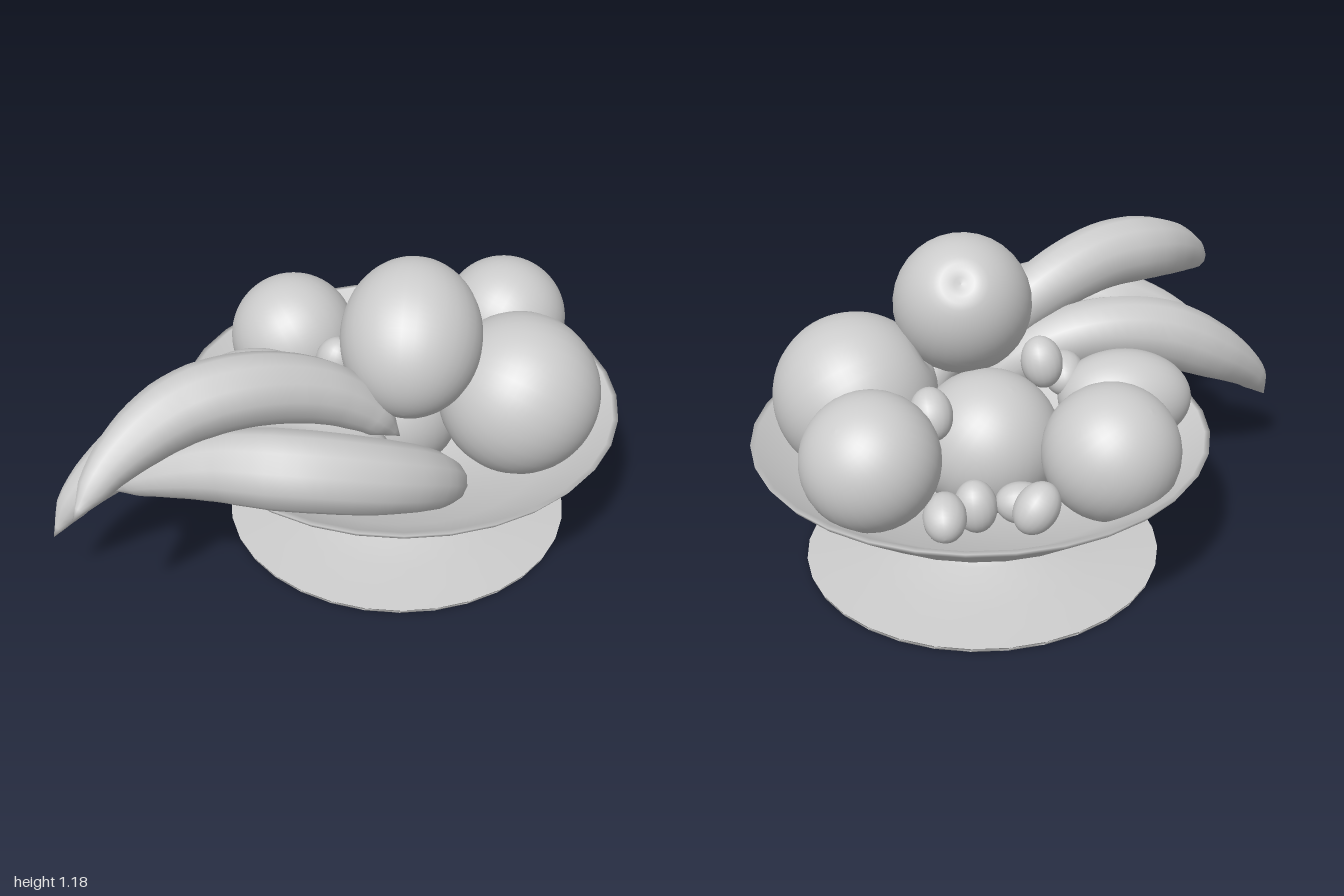
import * as THREE from 'three';
import { mergeVertices } from 'three/addons/utils/BufferGeometryUtils.js';

const material = new THREE.MeshStandardMaterial({ color: 0xcccccc });
const UP = new THREE.Vector3(0, 1, 0);

function add(parent, name, geometry) {
  const mesh = new THREE.Mesh(geometry, material);
  mesh.name = name;
  parent.add(mesh);
  return mesh;
}

// Round fruit: r across, h half length along its axis, dent = depth of the stem hollow
function roundFruit(parent, name, pos, r, h, axis, dent = 0, detail = 32) {
  const points = [];
  const steps = detail;
  for (let i = 0; i <= steps; i++) {
    const a = Math.PI * (1 - i / steps);
    const k = 1 - dent * Math.exp(-((a / 0.17) ** 2));
    points.push(new THREE.Vector2(i % steps ? r * k * Math.sin(a) : 0, h * k * Math.cos(a)));
  }
  const mesh = add(parent, name, new THREE.LatheGeometry(points, detail));
  mesh.position.set(...pos);
  mesh.quaternion.setFromUnitVectors(UP, new THREE.Vector3(...axis).normalize());
}

// Banana: a tube along a curve whose rings are resized by a taper profile
const TAPER = [0, 0.42, 0.64, 0.82, 0.94, 1, 1, 0.98, 0.94, 0.87, 0.75, 0.56, 0];
function banana(parent, name, radius, path) {
  const curve = new THREE.CatmullRomCurve3(path.map((p) => new THREE.Vector3(...p)));
  const rings = 36, sides = 12;
  const geometry = new THREE.TubeGeometry(curve, rings, 1, sides, false);
  const position = geometry.attributes.position;
  const v = new THREE.Vector3();
  for (let i = 0; i <= rings; i++) {
    const centre = curve.getPointAt(i / rings);
    const f = (i / rings) * (TAPER.length - 1);
    const n = Math.min(Math.floor(f), TAPER.length - 2);
    const r = radius * THREE.MathUtils.lerp(TAPER[n], TAPER[n + 1], f - n);
    for (let j = 0; j <= sides; j++) {
      const id = i * (sides + 1) + j;
      v.fromBufferAttribute(position, id).sub(centre).multiplyScalar(r).add(centre);
      position.setXYZ(id, v.x, v.y, v.z);
    }
  }
  geometry.deleteAttribute('uv');
  geometry.deleteAttribute('normal');
  const welded = mergeVertices(geometry, 1e-5);
  welded.computeVertexNormals();
  add(parent, name, welded);
}

export function createModel() {
  const model = new THREE.Group();
  model.name = 'fruitBowl';

  // Footed bowl with a hollow stem, from the underside round to the inside
  const profile = [
    [0, 0.21], [0.165, 0.19], [0.165, 0.1], [0.235, 0.06], [0.44, 0.01], [0.65, 0],
    [0.655, 0.015], [0.44, 0.022], [0.25, 0.07], [0.18, 0.1], [0.178, 0.16], [0.19, 0.205],
    [0.6, 0.33], [0.81, 0.488], [0.825, 0.51], [0.805, 0.51], [0.585, 0.36], [0.19, 0.235], [0, 0.225],
  ];
  const bowl = add(model, 'footedBowl',
    new THREE.LatheGeometry(profile.map((p) => new THREE.Vector2(...p)), 32));
  bowl.position.set(0.15, 0, -0.175);

  // Apples and the other large fruit
  const apples = new THREE.Group();
  apples.name = 'apples';
  model.add(apples);
  roundFruit(apples, 'topApple', [0.225, 0.91, 0.03], 0.252, 0.29, [-0.05, 0.62, -0.78], 0.09);
  roundFruit(apples, 'largeApple', [0.605, 0.615, -0.13], 0.3, 0.298, [-0.85, 0.5, 0.15], 0.09);
  roundFruit(apples, 'backApple', [0.49, 0.628, -0.63], 0.24, 0.235, [-0.3, -0.6, 0.4], 0.08);
  roundFruit(apples, 'sideApple', [-0.315, 0.565, -0.43], 0.243, 0.243, [0.4, -0.6, 0.2], 0.08);
  roundFruit(apples, 'middleApple', [0.125, 0.465, -0.19], 0.265, 0.265, [0.3, -0.8, 0.2], 0.08);

  // Lemon
  roundFruit(model, 'lemon', [-0.37, 0.555, 0], 0.178, 0.25, [-1, -0.1, 0.22]);

  // Loose grapes: position, then axis
  const grapes = new THREE.Group();
  grapes.name = 'grapes';
  model.add(grapes);
  [
    [[-0.065, 0.46, -0.635], [-0.5, 0.7, 0.4]],
    [[-0.01, 0.38, -0.475], [1, 0.2, -0.2]],
    [[0.15, 0.385, -0.51], [0.1, 1, 0.1]],
    [[0.25, 0.39, -0.595], [0.1, 0.4, 1]],
    [[0.31, 0.665, -0.365], [0.2, 0.8, 0.6]],
    [[-0.145, 0.64, 0.02], [0.1, 0.3, 1]],
    [[-0.065, 0.72, -0.055], [0.2, 1, 0.2]],
  ].forEach(([pos, axis], i) => roundFruit(grapes, `grape${i + 1}`, pos, 0.076, 0.096, axis, 0, 18));

  // Bananas, each from its free tip into the bowl
  const bananas = new THREE.Group();
  bananas.name = 'bananas';
  model.add(bananas);
  banana(bananas, 'upperBanana', 0.128, [
    [-0.71, 0.69, 0.98], [-0.62, 0.81, 0.8], [-0.46, 0.9, 0.61], [-0.27, 0.915, 0.47],
    [-0.05, 0.84, 0.32], [0.1, 0.73, 0.24], [0.22, 0.6, 0.2],
  ]);
  banana(bananas, 'frontBanana', 0.14, [
    [-0.73, 0.515, 0.595], [-0.58, 0.605, 0.605], [-0.35, 0.675, 0.595], [-0.07, 0.7, 0.595],
    [0.18, 0.64, 0.5], [0.35, 0.53, 0.34], [0.43, 0.37, 0.14],
  ]);
  banana(bananas, 'sideBanana', 0.13, [
    [-0.965, 0.265, 0.6], [-0.88, 0.41, 0.52], [-0.7, 0.56, 0.41], [-0.48, 0.67, 0.33],
    [-0.22, 0.69, 0.26], [0.02, 0.6, 0.22], [0.22, 0.4, 0.2],
  ]);

  return model;
}
